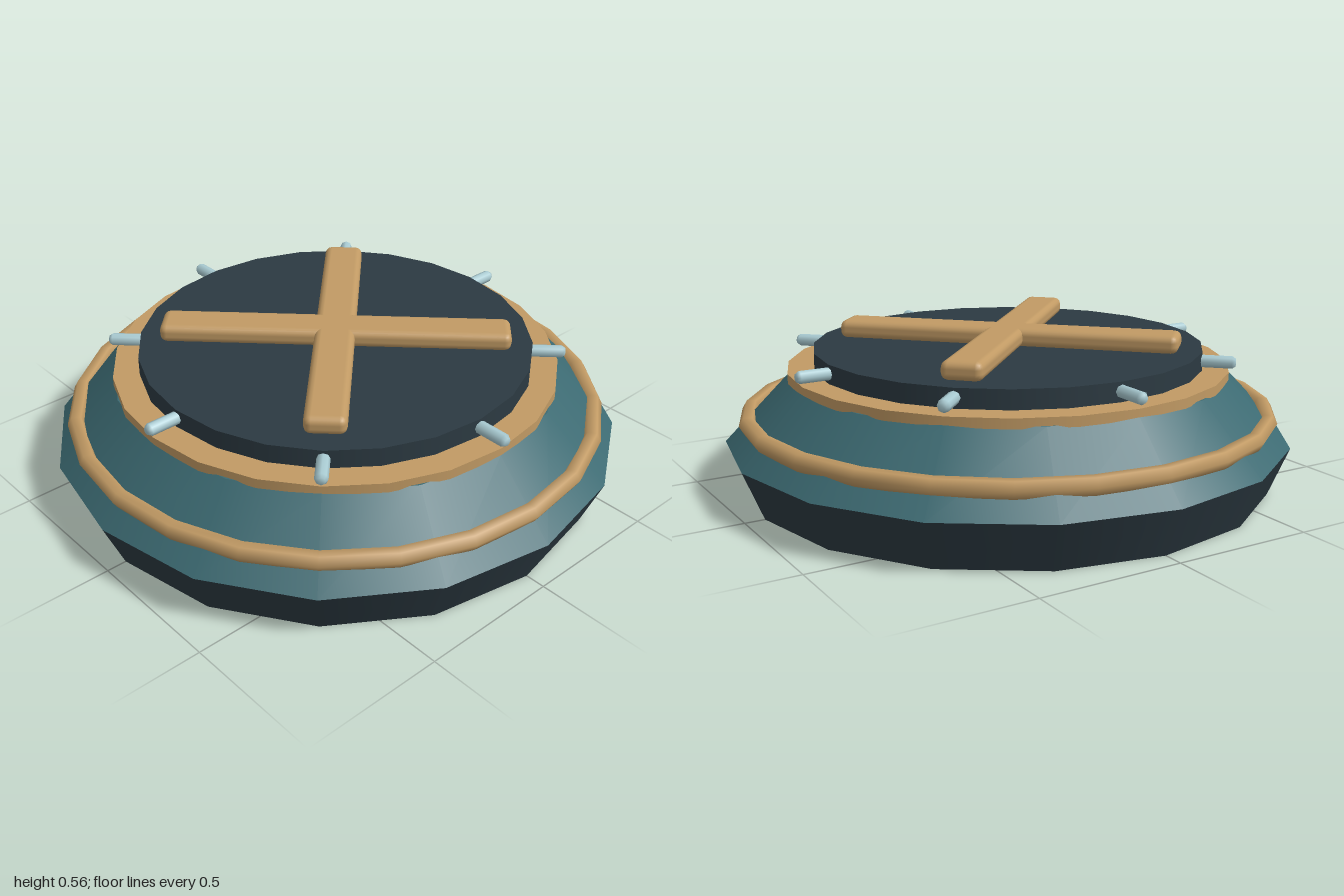
import * as THREE from 'three';
import { RoundedBoxGeometry } from 'three/addons/geometries/RoundedBoxGeometry.js';

function material(name, color) {
  const m = new THREE.MeshStandardMaterial({ color });
  m.name = name;
  return m;
}

export function createModel() {
  const model = new THREE.Group();
  model.name = 'roundHatch';
  const dark = material('dark slate', 0x2c3a42);
  const teal = material('teal', 0x3c6a72);
  const brass = material('brass', 0xc19a64);
  const steel = material('pale steel', 0xa9cbd2);

  function add(name, geometry, mat, y, parent = model) {
    const mesh = new THREE.Mesh(geometry, mat);
    mesh.name = name;
    mesh.position.y = y;
    parent.add(mesh);
    return mesh;
  }

  // Faceted drum between two heights
  function drum(name, rTop, rBottom, y0, y1, sides, mat) {
    return add(name, new THREE.CylinderGeometry(rTop, rBottom, y1 - y0, sides), mat, (y0 + y1) / 2);
  }

  // Stacked body
  drum('base', 1, 0.93, 0, 0.17, 16, dark);
  drum('slopedBody', 0.78, 1, 0.17, 0.4, 16, teal);
  drum('upperRim', 0.78, 0.78, 0.393, 0.427, 24, brass);
  drum('lid', 0.688, 0.688, 0.427, 0.493, 24, dark);

  // Trim ring around the slope
  const ring = new THREE.TorusGeometry(0.92, 0.032, 6, 24);
  ring.rotateX(-Math.PI / 2);
  add('trimRing', ring, brass, 0.255);

  // Chamfered pins pointing outward around the lid
  const pinProfile = [[0, 0.6], [0.022, 0.6], [0.022, 0.79], [0.014, 0.802], [0, 0.802]]
    .map(([r, l]) => new THREE.Vector2(r, l));
  const pinGeometry = new THREE.LatheGeometry(pinProfile, 8);
  pinGeometry.rotateX(Math.PI / 2);
  const pins = new THREE.Group();
  pins.name = 'pins';
  model.add(pins);
  for (let i = 0; i < 8; i++) {
    add('pin', pinGeometry, steel, 0.462, pins).rotation.y = (i * Math.PI) / 4;
  }

  // Crossed bars on the lid
  const cross = new THREE.Group();
  cross.name = 'crossHandle';
  model.add(cross);
  const barGeometry = new RoundedBoxGeometry(1.22, 0.064, 0.14, 2, 0.025);
  for (const side of [-1, 1]) {
    add('crossBar', barGeometry, brass, 0.523, cross).rotation.y = (side * Math.PI) / 4;
  }

  return model;
}
